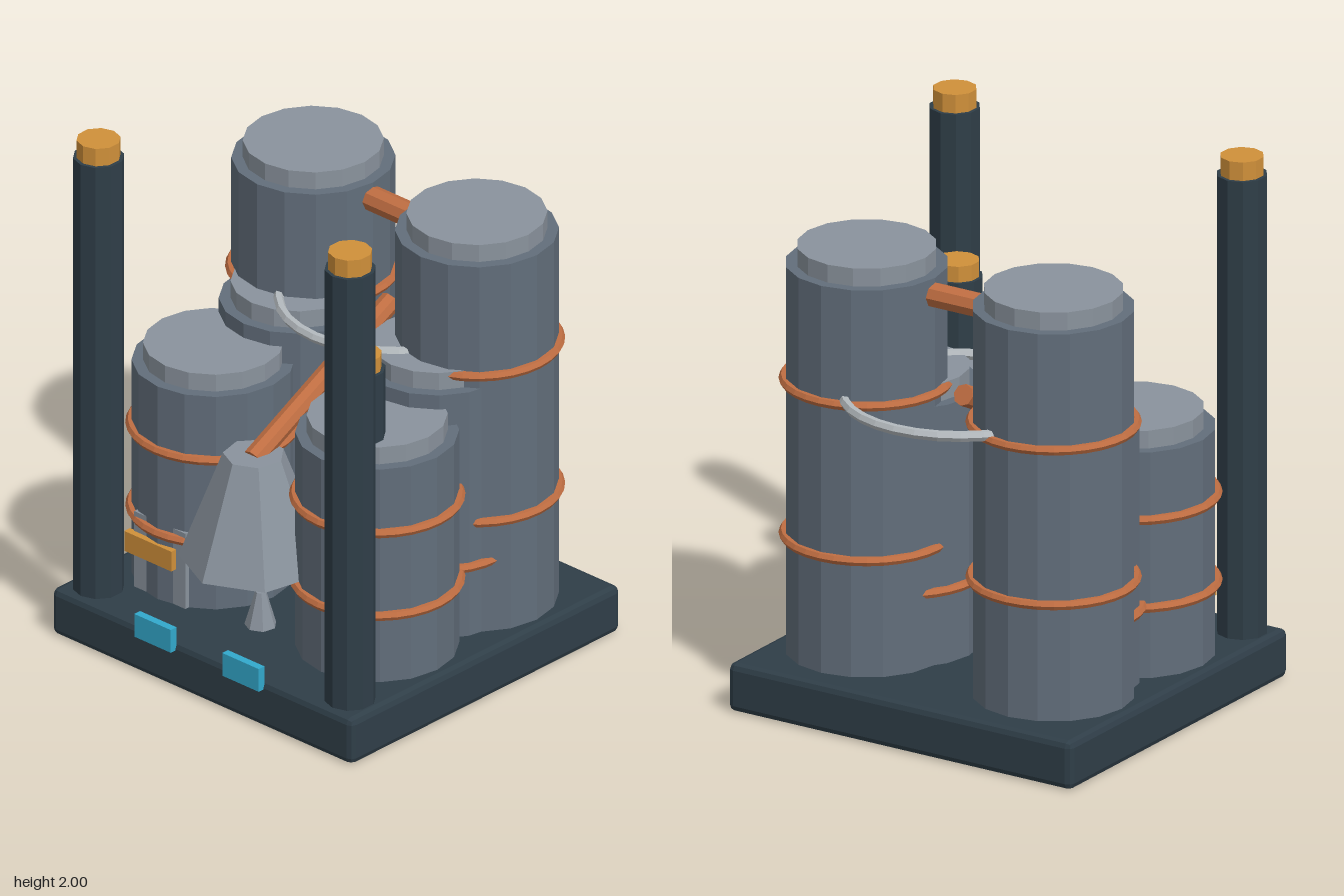
import * as THREE from 'three';
import { RoundedBoxGeometry } from 'three/addons/geometries/RoundedBoxGeometry.js';

const mat = (name, color) => {
  const m = new THREE.MeshStandardMaterial({ color, flatShading: true });
  m.name = name;
  return m;
};

export function createModel() {
  const root = new THREE.Group();
  root.name = 'industrialPlant';
  const dark = mat('darkSteel', 0x2f3e48);
  const steel = mat('tankSteel', 0x626e7b);
  const pale = mat('paleSteel', 0x8a939d);
  const silver = mat('silver', 0xb4babe);
  const copper = mat('copper', 0xc06e42);
  const gold = mat('gold', 0xd0903a);
  const cyan = mat('cyanLight', 0x32a9cc);

  const add = (name, geo, material, x, y, z, parent = root) => {
    const m = new THREE.Mesh(geo, material);
    m.name = name;
    m.position.set(x, y, z);
    parent.add(m);
    return m;
  };
  // upright cylinder or frustum given by its bottom and top heights
  const column = (name, r0, r1, y0, y1, sides, material, x, z, parent) =>
    add(name, new THREE.CylinderGeometry(r1, r0, y1 - y0, sides), material, x, (y0 + y1) / 2, z, parent);
  // horizontal hoop
  const hoop = (name, r, tube, material, x, y, z, parent) => {
    const h = add(name, new THREE.TorusGeometry(r, tube, 6, 32), material, x, y, z, parent);
    h.rotation.x = Math.PI / 2;
    return h;
  };
  // straight pipe between two points
  const pipe = (name, a, b, r) => {
    const p = new THREE.Vector3(...a), q = new THREE.Vector3(...b);
    const d = q.clone().sub(p);
    const mid = p.clone().add(q).multiplyScalar(0.5);
    const m = add(name, new THREE.CylinderGeometry(r, r, d.length(), 8), copper, mid.x, mid.y, mid.z);
    m.quaternion.setFromUnitVectors(new THREE.Vector3(0, 1, 0), d.normalize());
  };

  // plinth with chamfered edges
  add('base', new RoundedBoxGeometry(1.47, 0.185, 1.405, 1, 0.025), dark, 0, 0.0925, 0.008);

  // three pairs of tanks with lids and copper bands
  const tanks = [
    { name: 'rearTank', x: 0.4, z: -0.3, r: 0.293, top: 1.66, lid: 0.252, bands: [0.63, 1.22] },
    { name: 'middleTank', x: 0.34, z: -0.155, r: 0.282, top: 1.17, lid: 0.24, bands: [0.465] },
    { name: 'frontTank', x: 0.4, z: 0.22, r: 0.293, top: 1.045, lid: 0.252, bands: [0.455, 0.79] },
  ];
  for (const t of tanks) {
    for (const side of [1, -1]) {
      const g = new THREE.Group();
      g.name = t.name + (side > 0 ? 'Left' : 'Right');
      g.position.set(side * t.x, 0, t.z);
      root.add(g);
      column('tankBody', t.r, t.r, 0.17, t.top, 16, steel, 0, 0, g);
      column('tankLid', t.lid, t.lid, t.top, t.top + 0.068, 16, pale, 0, 0, g);
      for (const y of t.bands) hoop('tankBand', t.r + 0.004, 0.018, copper, 0, y, 0, g);
    }
  }

  // chimneys with gold tips
  for (const [x, z, top, tip] of [[0.615, 0.59, 1.93, 2], [-0.615, 0.59, 1.93, 2], [0.46, 0.375, 1.385, 1.445]]) {
    column('chimney', 0.093, 0.093, 0.17, top, 10, dark, x, z);
    column('chimneyTip', 0.08, 0.08, top, tip, 10, gold, x, z);
  }

  // hopper and its sloping feed pipe
  column('hopper', 0.27, 0.112, 0.47, 0.89, 7, pale, 0, 0.435);
  column('hopperDrain', 0.06, 0.02, 0.18, 0.32, 7, pale, 0, 0.4);
  pipe('feedPipe', [0, 0.87, 0.44], [0, 1.23, -0.28], 0.04);

  // cross pipes joining the tanks
  pipe('rearCrossPipe', [-0.13, 1.595, -0.3], [0.13, 1.595, -0.3], 0.047);
  pipe('frontCrossPipe', [-0.13, 0.37, 0.22], [0.13, 0.37, 0.22], 0.047);

  // large silver ring around the rear tanks
  hoop('silverRing', 0.416, 0.02, silver, 0, 1.235, -0.3);

  // control cabinet on the right front tank
  add('cabinet', new THREE.BoxGeometry(0.25, 0.31, 0.12), pale, -0.4, 0.335, 0.44);
  add('cabinetPlate', new THREE.BoxGeometry(0.23, 0.08, 0.03), gold, -0.435, 0.37, 0.51);

  // lights on the front of the plinth
  for (const side of [1, -1]) {
    add('frontLight', new THREE.BoxGeometry(0.178, 0.092, 0.03), cyan, side * 0.215, 0.201, 0.72);
  }
  return root;
}
